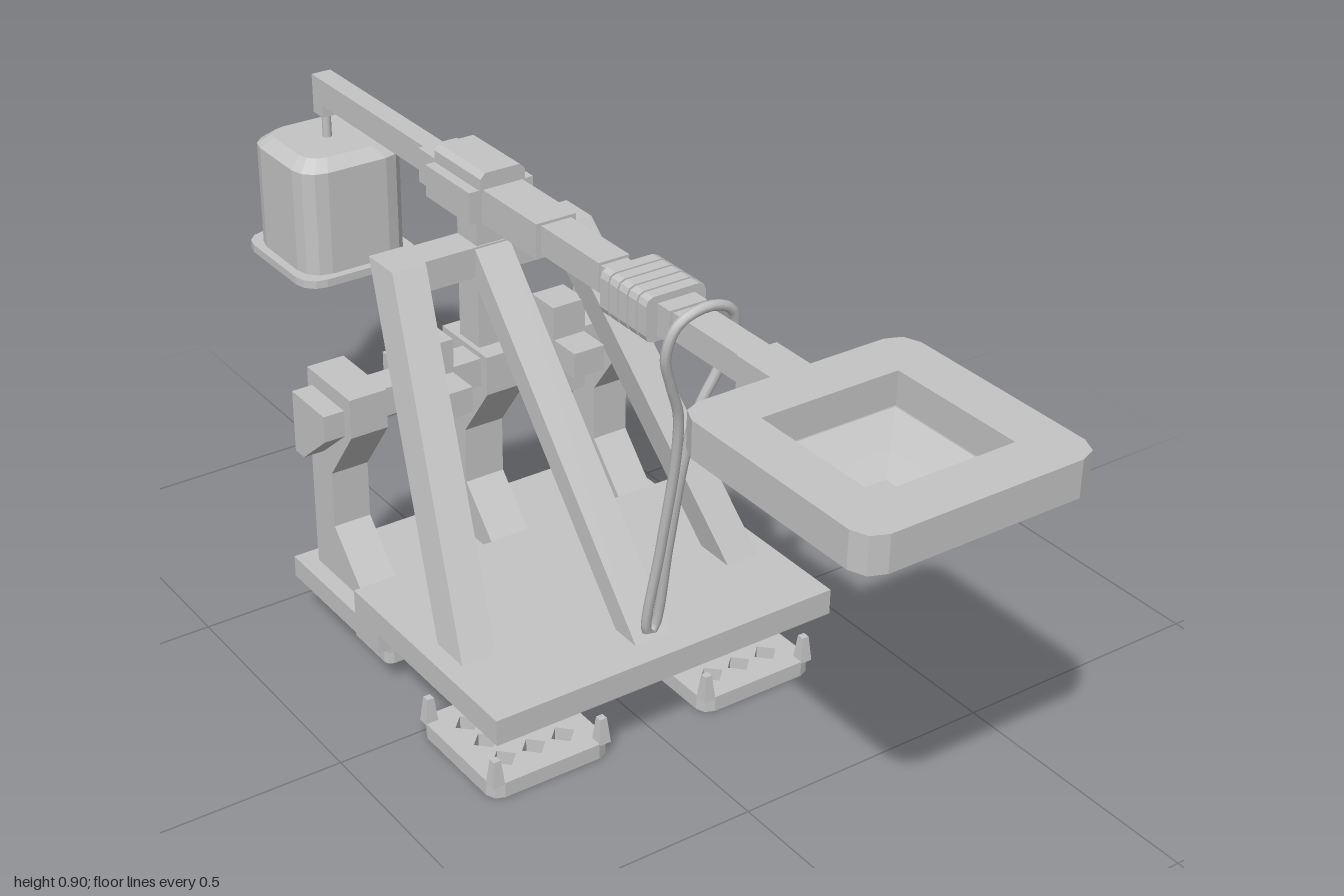
import * as THREE from 'three';

export function createModel() {
  const root = new THREE.Group();
  root.name = 'catapult';
  const grey = new THREE.MeshStandardMaterial({ color: 0xc4c4c4, side: THREE.DoubleSide });
  grey.name = 'plain grey';

  const add = (name, geo, parent = root) => {
    const mesh = new THREE.Mesh(geo, grey);
    mesh.name = name;
    parent.add(mesh);
    return mesh;
  };
  // Box given by its limits on each axis
  const box = (name, x0, x1, y0, y1, z0, z1, parent) => {
    const g = new THREE.BoxGeometry(x1 - x0, y1 - y0, z1 - z0);
    g.translate((x0 + x1) / 2, (y0 + y1) / 2, (z0 + z1) / 2);
    return add(name, g, parent);
  };
  const flat = (geo) => {
    const g = geo.toNonIndexed();
    g.computeVertexNormals();
    return g;
  };
  // Rectangle with rounded (or cut, when segments = 1) corners
  const roundRect = (hx, hy, r, segments = 3) => {
    const pts = [];
    [[1, 1], [-1, 1], [-1, -1], [1, -1]].forEach(([sx, sy], i) => {
      for (let k = 0; k <= segments; k++) {
        const a = (i + k / segments) * Math.PI / 2;
        pts.push(new THREE.Vector2(sx * (hx - r) + r * Math.cos(a), sy * (hy - r) + r * Math.sin(a)));
      }
    });
    return new THREE.Shape(pts);
  };
  const path = (pts) => new THREE.Path(pts.map(([x, y]) => new THREE.Vector2(x, y)));
  const extrude = (shape, depth) => new THREE.ExtrudeGeometry(shape, { depth, bevelEnabled: false });
  // Plan shape raised from y0 to y1
  const slab = (shape, y0, y1) => extrude(shape, y1 - y0).rotateX(-Math.PI / 2).translate(0, y0, 0);
  // Side profile of [z, y] points, spanning x0 to x1
  const profile = (pts, x0, x1) => extrude(new THREE.Shape(pts.map(([z, y]) => new THREE.Vector2(z, y))), x1 - x0)
    .rotateY(-Math.PI / 2).translate(x1, 0, 0);
  // Sloping beam with level ends: foot [x, z], head [x, z]
  const strut = (name, foot, head, y0, y1, w, d) => {
    const g = new THREE.BoxGeometry(w, 1, d);
    const p = g.attributes.position;
    for (let i = 0; i < p.count; i++) {
      const t = p.getY(i) + 0.5;
      p.setXYZ(i, p.getX(i) + foot[0] + (head[0] - foot[0]) * t, y0 + (y1 - y0) * t,
        p.getZ(i) + foot[1] + (head[1] - foot[1]) * t);
    }
    return add(name, flat(g));
  };

  // Base decks
  box('frontDeck', -0.35, 0.35, 0.14, 0.19, -0.2, 0.27);
  box('rearDeck', -0.35, 0.35, 0.1, 0.142, -0.425, -0.12);

  // Pierced feet with corner prongs
  const foot = (x, z, h, postRadius, postTop) => {
    const g = new THREE.Group();
    g.name = 'foot';
    const shape = roundRect(h, h, h * 0.2, 2);
    const r = h * 0.2;
    for (let i = -1; i <= 1; i++) {
      for (let j = -1; j <= 1; j++) {
        if (!i && !j) continue;
        const cx = i * h * 0.5, cy = j * h * 0.5;
        shape.holes.push(path([[cx + r, cy], [cx, cy + r], [cx - r, cy], [cx, cy - r]]));
      }
    }
    add('footPlate', slab(shape, 0, 0.03), g);
    const post = new THREE.CylinderGeometry(postRadius, postRadius, postTop - 0.03, 8);
    add('footPost', flat(post.translate(0, (postTop + 0.03) / 2, 0)), g);
    const w = h * 0.1;
    for (const sx of [-1, 1]) for (const sz of [-1, 1]) {
      const prong = new THREE.CylinderGeometry(w * 0.8, w * 1.4, 0.05, 4).rotateY(Math.PI / 4);
      add('footProng', flat(prong.translate(sx * h * 0.9, 0.051, sz * h * 0.9)), g);
    }
    g.position.set(x, 0, z);
    root.add(g);
  };

  // Arched column profile
  const column = [[-0.39, 0.14], [-0.215, 0.14], [-0.32, 0.25], [-0.32, 0.36], [-0.24, 0.47],
    [-0.24, 0.545], [-0.39, 0.545]];
  add('centreColumn', profile(column, -0.04, 0.04));
  box('centrePost', -0.03, 0.03, 0.5, 0.82, -0.345, -0.28);

  // Mirrored frame parts
  for (const s of [-1, 1]) {
    foot(s * 0.22, 0.12, 0.12, 0.026, 0.14);
    foot(s * 0.22, -0.27, 0.065, 0.016, 0.1);
    const span = (a, b) => (s > 0 ? [a, b] : [-b, -a]);
    add('sideColumn', profile(column, ...span(0.245, 0.318)));
    for (const x of [0.252, 0.288]) box('columnRib', ...span(x, x + 0.024), 0.165, 0.525, -0.403, -0.388);
    add('sideBlock', profile([[-0.375, 0.395], [-0.345, 0.395], [-0.262, 0.465], [-0.262, 0.515],
      [-0.375, 0.515]], ...span(0.315, 0.358)));
    box('clampUpright', ...span(0.105, 0.173), 0.42, 0.6, -0.315, -0.245);
    box('clampBlock', ...span(0.107, 0.171), 0.485, 0.535, -0.38, -0.18);
    strut('sideLeg', [s * 0.28, 0.065], [s * 0.172, -0.312], 0.19, 0.745, 0.067, 0.08);
  }
  strut('centreLeg', [0, 0.19], [0, -0.31], 0.19, 0.745, 0.072, 0.06);
  box('lowerBeam', -0.25, 0.25, 0.48, 0.535, -0.32, -0.26);
  box('upperBeam', -0.2, 0.2, 0.687, 0.745, -0.345, -0.277);

  // Throwing arm, in steps from back to front: [half width, y0, y1, z0, z1]
  [[0.02, 0.81, 0.862, -0.88, -0.45], [0.04, 0.805, 0.87, -0.455, -0.075],
    [0.03, 0.812, 0.865, -0.08, 0.095], [0.026, 0.818, 0.86, 0.09, 0.3],
    [0.036, 0.81, 0.867, 0.265, 0.3], [0.03, 0.815, 0.863, 0.295, 0.48],
    [0.038, 0.808, 0.868, 0.475, 0.57]].forEach(([w, ...r]) => box('arm', -w, w, ...r));
  box('armHook', -0.02, 0.02, 0.785, 0.812, -0.88, -0.845);
  box('pivotBlock', -0.065, 0.065, 0.808, 0.868, -0.39, -0.245);
  add('pivotCap', extrude(new THREE.Shape([[-0.045, 0.865], [0.045, 0.865], [0.045, 0.89], [0.035, 0.9],
    [-0.035, 0.9], [-0.045, 0.89]].map(([x, y]) => new THREE.Vector2(x, y))), 0.15).translate(0, 0, -0.39));

  // Wound binding
  for (let i = 0; i < 5; i++) {
    add('binding', extrude(roundRect(0.058, 0.04, 0.014, 2), 0.022).translate(0, 0.84, 0.14 + i * 0.0262));
  }
  box('bindingCore', -0.052, 0.052, 0.806, 0.874, 0.142, 0.265);

  // Scoop: framed rim and pyramid bowl
  const rim = roundRect(0.215, 0.218, 0.04, 2);
  rim.holes.push(path([[-0.128, -0.128], [-0.128, 0.128], [0.128, 0.128], [0.128, -0.128]]));
  add('scoopRim', slab(rim, 0.808, 0.872).translate(0, 0, 0.781));
  const bowlPoints = [[0, 0.745], [0.042, 0.745], [0.083, 0.768], [0.13, 0.812], [0.122, 0.815],
    [0.078, 0.778], [0.04, 0.756], [0, 0.756]].map(([r, y]) => new THREE.Vector2(r * Math.SQRT2, y));
  add('scoopBowl', flat(new THREE.LatheGeometry(bowlPoints, 4, Math.PI / 4)).translate(0, 0, 0.781));

  // Counterweight with flange and bevelled top
  const weight = new THREE.Group();
  weight.name = 'counterweight';
  weight.position.z = -0.868;
  root.add(weight);
  add('weightFlange', slab(roundRect(0.13, 0.13, 0.045), 0.49, 0.506), weight);
  add('weightBody', slab(roundRect(0.113, 0.113, 0.05), 0.5, 0.715), weight);
  const top = slab(roundRect(0.113, 0.113, 0.05), 0.715, 0.735);
  const tp = top.attributes.position;
  for (let i = 0; i < tp.count; i++) {
    if (tp.getY(i) > 0.725) tp.setXYZ(i, tp.getX(i) * 0.78, tp.getY(i), tp.getZ(i) * 0.78);
  }
  top.computeVertexNormals();
  add('weightTop', top, weight);
  add('weightRod', new THREE.CylinderGeometry(0.009, 0.009, 0.07, 10).translate(0, 0.758, 0), weight);

  // Rope looped over the arm and tied to the deck
  const half = [[0.006, 0.205], [0.008, 0.4], [0.009, 0.58], [0.02, 0.68], [0.045, 0.745],
    [0.066, 0.81], [0.052, 0.865]];
  const loop = [...half, [0, 0.885], ...half.slice().reverse().map(([x, y]) => [-x, y])];
  const rope = new THREE.CatmullRomCurve3(
    loop.map(([x, y]) => new THREE.Vector3(x, y, 0.21 + (y - 0.2) * 0.2)), true, 'centripetal');
  add('rope', new THREE.TubeGeometry(rope, 90, 0.009, 8, true));

  return root;
}
